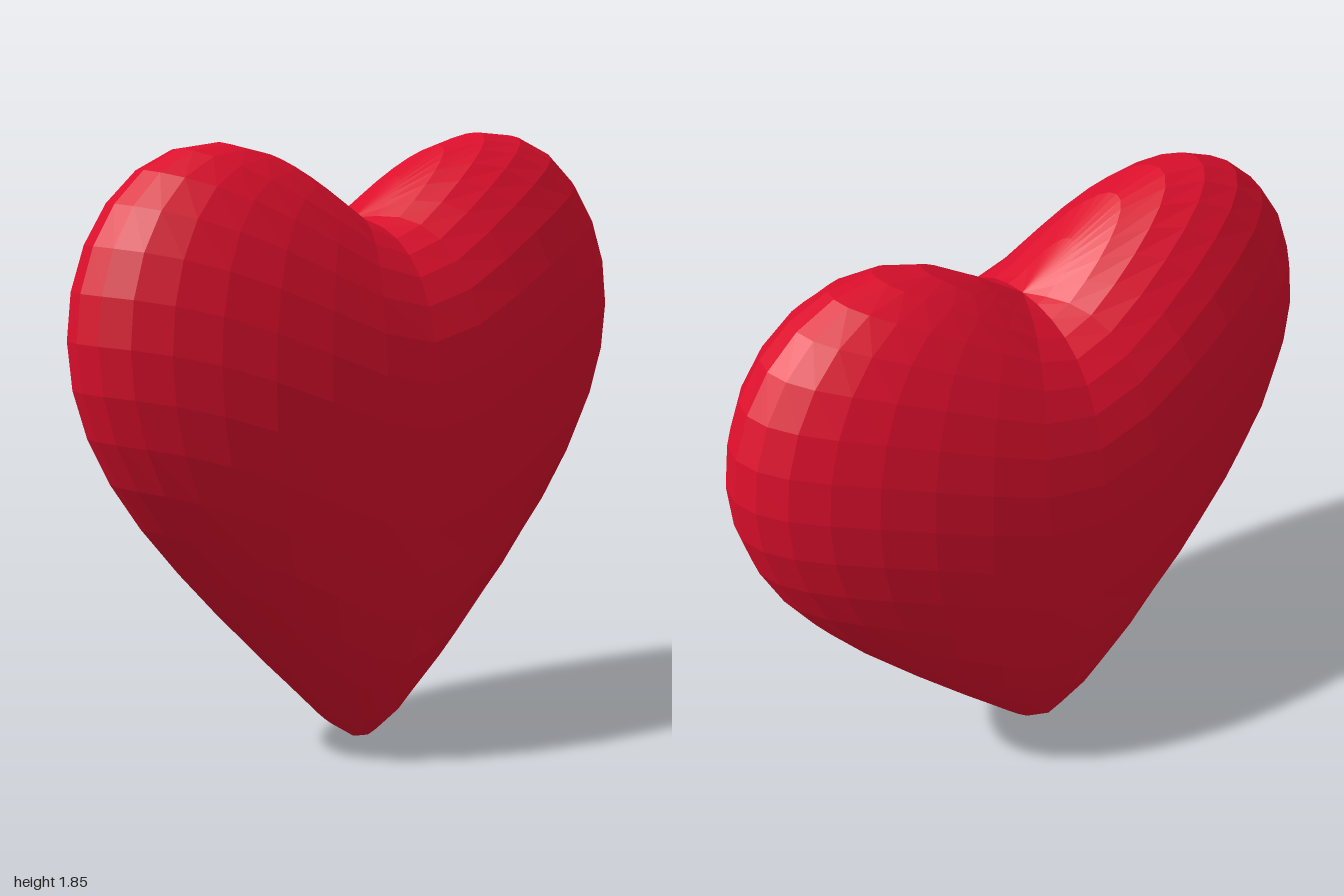
import * as THREE from 'three';

// Height added to a point of the unit sphere: rises with |z| to form two lobes,
// a sharp cleft at the rim that softens toward the flat faces.
function lobeLift(sx, sz) {
  const softness = 0.03 + 0.25 * sx * sx;
  const d = Math.hypot(sz, softness) - 0.03;
  return d * (0.95 - 0.445 * d);
}

function heartGeometry() {
  const geometry = new THREE.SphereGeometry(1, 32, 18);
  const p = geometry.attributes.position;
  for (let i = 0; i < p.count; i++) {
    const x = p.getX(i), y = p.getY(i), z = p.getZ(i);
    p.setXYZ(i, 0.4 * x, 0.805 + 0.805 * y + lobeLift(x, z), z);
  }
  geometry.computeVertexNormals();
  return geometry;
}

export function createModel() {
  const group = new THREE.Group();
  // Faceted heart, its outline lying in the z-y plane
  const material = new THREE.MeshStandardMaterial({ color: 0xdc0f2c, flatShading: true });
  const heart = new THREE.Mesh(heartGeometry(), material);
  heart.name = 'heart';
  group.add(heart);
  return group;
}
